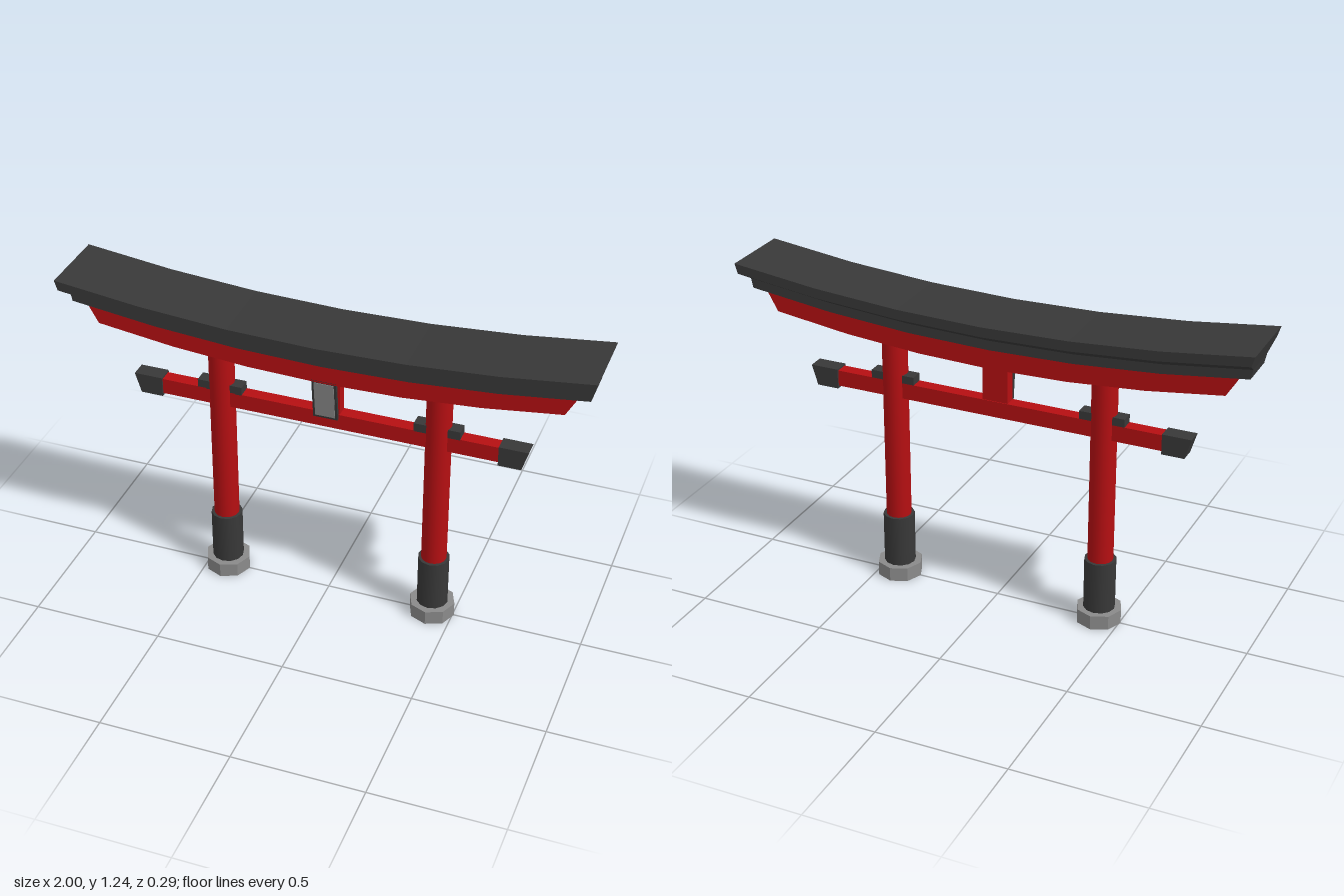
import * as THREE from 'three';

const red = new THREE.MeshStandardMaterial({ name: 'vermilion paint', color: 0xb50f12 });
const black = new THREE.MeshStandardMaterial({ name: 'charcoal black', color: 0x383838 });
const stone = new THREE.MeshStandardMaterial({ name: 'grey stone', color: 0x8a8a8a });

function add(parent, name, geometry, material, x = 0, y = 0, z = 0) {
  const mesh = new THREE.Mesh(geometry, material);
  mesh.name = name;
  mesh.position.set(x, y, z);
  parent.add(mesh);
  return mesh;
}

// Upward-curving beam. Each level is [y, half depth, half length], top to bottom.
function curvedBeam(levels, rise, segments = 6) {
  const positions = [];
  const point = (u, level, side) => [u * level[2], level[0] + rise * u * u, side * level[1]];
  const quad = (a, b, c, d) => positions.push(...a, ...b, ...c, ...a, ...c, ...d);
  const top = levels[0], bottom = levels[levels.length - 1];
  for (let i = 0; i < segments; i++) {
    const u = -1 + (2 * i) / segments, v = -1 + (2 * (i + 1)) / segments;
    quad(point(u, top, 1), point(v, top, 1), point(v, top, -1), point(u, top, -1));
    quad(point(u, bottom, -1), point(v, bottom, -1), point(v, bottom, 1), point(u, bottom, 1));
    for (let k = 0; k + 1 < levels.length; k++) {
      const hi = levels[k], lo = levels[k + 1];
      quad(point(u, lo, 1), point(v, lo, 1), point(v, hi, 1), point(u, hi, 1));
      quad(point(v, lo, -1), point(u, lo, -1), point(u, hi, -1), point(v, hi, -1));
    }
  }
  // Slanted end faces
  for (let k = 0; k + 1 < levels.length; k++) {
    const hi = levels[k], lo = levels[k + 1];
    for (const e of [-1, 1]) {
      quad(point(e, lo, e), point(e, lo, -e), point(e, hi, -e), point(e, hi, e));
    }
  }
  const geometry = new THREE.BufferGeometry();
  geometry.setAttribute('position', new THREE.Float32BufferAttribute(positions, 3));
  geometry.computeVertexNormals();
  return geometry;
}

// Tie-beam end cap, slanted on its outer face
function capGeometry(side) {
  const geometry = new THREE.BoxGeometry(0.11, 0.078, 0.062);
  const p = geometry.attributes.position;
  for (let i = 0; i < p.count; i++) {
    if (p.getX(i) * side > 0 && p.getY(i) < 0) p.setX(i, p.getX(i) - side * 0.024);
  }
  geometry.computeVertexNormals();
  return geometry;
}

export function createModel() {
  const model = new THREE.Group();
  model.name = 'shrineGate';

  // Roof cap and the red lintel beneath it
  add(model, 'roof', curvedBeam([
    [1.166, 0.143, 1.0], [1.128, 0.143, 0.988], [1.088, 0.075, 0.976], [1.051, 0.075, 0.968],
  ], 0.074), black);
  add(model, 'lintel', curvedBeam([[1.053, 0.055, 0.926], [0.968, 0.055, 0.878]], 0.07), red);

  // Tie beam and centre strut
  add(model, 'tieBeam', new THREE.BoxGeometry(1.32, 0.062, 0.05), red, 0, 0.795, 0);
  add(model, 'centreStrut', new THREE.BoxGeometry(0.1, 0.17, 0.044), red, 0, 0.9, 0);

  // Plaque leaning forward at the top
  const plaque = new THREE.Group();
  plaque.name = 'plaque';
  plaque.position.set(0, 0.893, 0.04);
  plaque.rotation.x = 0.11;
  add(plaque, 'plaqueFrame', new THREE.BoxGeometry(0.094, 0.168, 0.012), black);
  add(plaque, 'plaqueFace', new THREE.BoxGeometry(0.076, 0.148, 0.004), stone, 0, 0, 0.0065);
  model.add(plaque);

  // Pillars, mirrored left and right
  const baseGeometry = new THREE.CylinderGeometry(0.088, 0.088, 0.056, 8).toNonIndexed();
  baseGeometry.computeVertexNormals();
  for (const side of [-1, 1]) {
    const pillar = new THREE.Group();
    pillar.name = side > 0 ? 'leftPillar' : 'rightPillar';
    pillar.position.x = side * 0.418;
    add(pillar, 'base', baseGeometry, stone, 0, 0.028, 0);
    add(pillar, 'sleeve', new THREE.CylinderGeometry(0.06, 0.06, 0.21, 12), black, 0, 0.156, 0);
    add(pillar, 'post', new THREE.CylinderGeometry(0.048, 0.048, 0.78, 16), red, 0, 0.63, 0);
    for (const s of [-1, 1]) {
      add(pillar, 'wedge', new THREE.BoxGeometry(0.05, 0.034, 0.05), black, s * 0.062, 0.84, 0);
    }
    model.add(pillar);
    add(model, 'tieBeamCap', capGeometry(side), black, side * 0.703, 0.793, 0);
  }
  return model;
}
